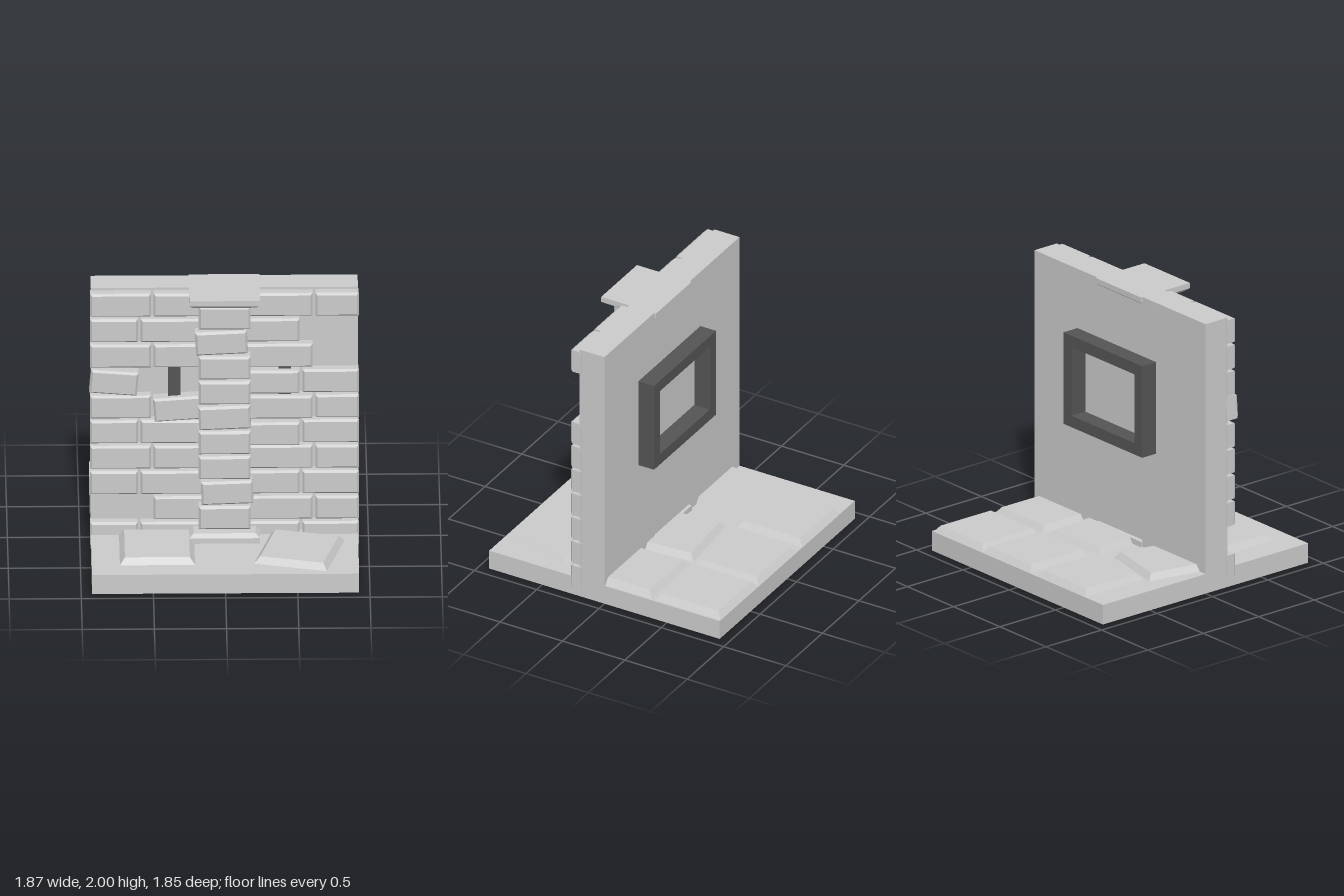
import * as THREE from 'three';

const stone = new THREE.MeshStandardMaterial({ color: 0xcccccc });
const dark = new THREE.MeshStandardMaterial({ color: 0x555555 });

function add(parent, name, geometry, x, y, z, material = stone) {
  const mesh = new THREE.Mesh(geometry, material);
  mesh.name = name;
  mesh.position.set(x, y, z);
  parent.add(mesh);
  return mesh;
}

// Box whose +z face is drawn in by `inset` over the last `bevel` of its depth
function slab(w, h, d, inset, bevel) {
  const box = new THREE.BoxGeometry(w, h, d, 1, 1, 2);
  const p = box.attributes.position;
  for (let i = 0; i < p.count; i++) {
    const z = p.getZ(i);
    if (Math.abs(z) < 1e-6) p.setZ(i, d / 2 - bevel);
    else if (z > 0) {
      p.setX(i, p.getX(i) - Math.sign(p.getX(i)) * inset);
      p.setY(i, p.getY(i) - Math.sign(p.getY(i)) * inset);
    }
  }
  const flat = box.toNonIndexed();
  flat.computeVertexNormals();
  return flat;
}

export function createModel() {
  const model = new THREE.Group();
  model.name = 'brickWallSegment';

  add(model, 'floorBase', new THREE.BoxGeometry(1.85, 0.145, 1.85), 0, 0.0725, 0);
  add(model, 'wall', new THREE.BoxGeometry(1.85, 1.855, 0.2), 0, 1.0725, 0.1);

  // Floor tiles: x, z, turn
  const tiles = new THREE.Group();
  tiles.name = 'floorTiles';
  model.add(tiles);
  const tileGeometry = slab(0.52, 0.52, 0.05, 0.035, 0.045).rotateX(-Math.PI / 2);
  for (const [x, z, turn] of [
    [-0.47, -0.66, 0], [0.125, -0.66, 0], [0.65, -0.66, 0],
    [-0.58, -0.08, -0.21], [0.1, -0.09, 0.08], [0.65, -0.11, 0],
    [-0.47, 0.51, 0], [0.515, 0.565, -0.25],
  ]) add(tiles, 'floorTile', tileGeometry, x, 0.165, z).rotation.y = turn;

  // Brick courses from the top down, alternating two bonds
  const bricks = new THREE.Group();
  bricks.name = 'bricks';
  model.add(bricks);
  const bonds = [
    [[-0.93, -0.51], [-0.49, 0.05], [0.07, 0.61], [0.63, 0.93]],
    [[-0.93, -0.6], [-0.58, -0.04], [-0.02, 0.52], [0.54, 0.93]],
  ];
  const missing = ['1:3', '2:3', '3:1', '8:0'];
  // Loose bricks: tilt, forward shift
  const loose = { '3:0': [-0.08, 0.02], '4:1': [0.07, 0.02], '3:2': [0, 0.02], '4:2': [0, 0.015], '5:2': [0, 0.045] };
  for (let row = 0; row < 10; row++) {
    bonds[row % 2].forEach(([x0, x1], i) => {
      const key = `${row}:${i}`;
      if (missing.includes(key)) return;
      const [tilt, shift] = loose[key] ?? [0, 0];
      const brick = add(bricks, 'brick', slab(x1 - x0, 0.175, 0.09 + shift, 0.014, 0.018),
        (x0 + x1) / 2, 1.895 - row * 0.1945 + (row > 4 ? 0.004 : 0), 0.23 + shift / 2);
      brick.rotation.z = tilt;
    });
  }

  // Pillar of stacked blocks, some knocked askew: x, tilt
  const pillar = new THREE.Group();
  pillar.name = 'pillar';
  model.add(pillar);
  const blockGeometry = slab(0.36, 0.175, 0.19, 0.015, 0.018);
  [[0, 0], [0.018, 0.035], [0, 0], [0, 0], [0, 0.04], [0, 0], [0, 0], [-0.022, 0.045], [0, 0]]
    .forEach(([x, tilt], i) => {
      add(pillar, 'pillarBlock', blockGeometry, x, 0.31 + i * 0.191, 0.275).rotation.z = tilt;
    });

  // Cap and foot run through the wall and show slightly at the back
  const plate = (s) => slab(0.49, 0.44, 0.065, 0.03, 0.025).rotateX(s * Math.PI / 2);
  add(pillar, 'pillarCap', plate(1), 0, 1.9675, 0.205);
  add(pillar, 'pillarFoot', plate(-1), 0, 0.1775, 0.205);

  // Dark frame set through the wall
  const outline = new THREE.Shape([
    new THREE.Vector2(-0.425, -0.34), new THREE.Vector2(0.425, -0.34),
    new THREE.Vector2(0.425, 0.34), new THREE.Vector2(-0.425, 0.34),
  ]);
  outline.holes.push(new THREE.Path([
    new THREE.Vector2(-0.34, -0.255), new THREE.Vector2(-0.34, 0.255),
    new THREE.Vector2(0.34, 0.255), new THREE.Vector2(0.34, -0.255),
  ]));
  add(model, 'windowFrame', new THREE.ExtrudeGeometry(outline, { depth: 0.37, bevelEnabled: false }),
    0.035, 1.22, -0.125, dark);

  return model;
}
